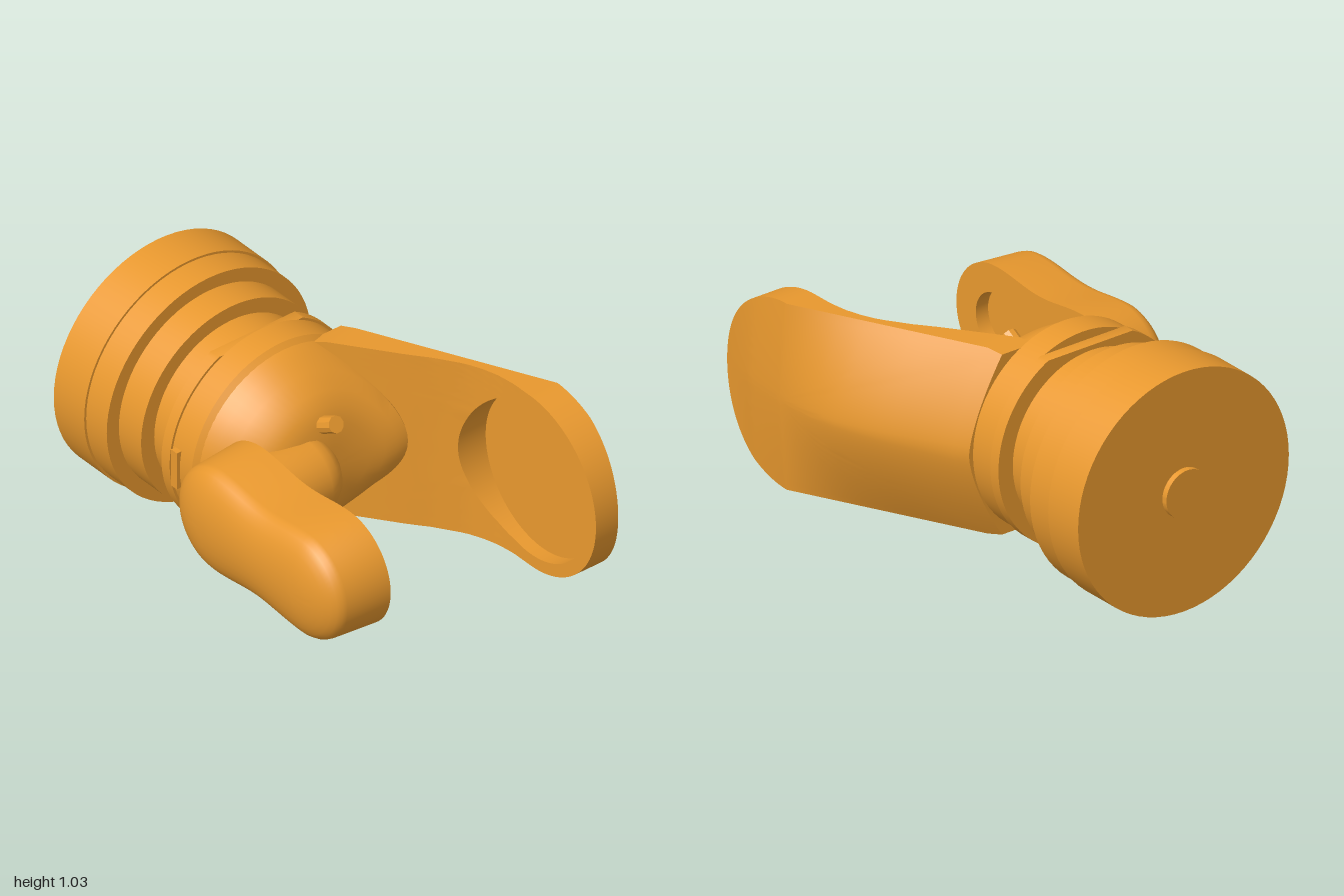
import * as THREE from 'three';
import { toCreasedNormals } from 'three/addons/utils/BufferGeometryUtils.js';

const CY = 0.517, CZ = 0.05; // main axis of the body, running along x

// piecewise linear lookup through [x, value] pairs
function curve(pts) {
  return (x) => {
    if (x <= pts[0][0]) return pts[0][1];
    for (let i = 1; i < pts.length; i++) {
      const [x0, v0] = pts[i - 1], [x1, v1] = pts[i];
      if (x <= x1) return v0 + ((v1 - v0) * (x - x0)) / (x1 - x0);
    }
    return pts[pts.length - 1][1];
  };
}

// skin over closed rings of [x, y, z] points
function loft(rings) {
  const n = rings[0].length, pos = rings.flat(2), idx = [];
  for (let i = 0; i < rings.length - 1; i++)
    for (let j = 0; j < n; j++) {
      const k = (j + 1) % n;
      const a = i * n + j, b = a + n, c = (i + 1) * n + k, d = i * n + k;
      idx.push(a, b, c, a, c, d);
    }
  const g = new THREE.BufferGeometry();
  g.setAttribute('position', new THREE.Float32BufferAttribute(pos, 3));
  g.setIndex(idx);
  return g;
}

const lathe = (pts, seg = 64) => new THREE.LatheGeometry(pts.map((p) => new THREE.Vector2(...p)), seg);

export function createModel() {
  const group = new THREE.Group();
  const mat = new THREE.MeshStandardMaterial({ color: 0xe8982e });
  const add = (name, geo, crease = 0.5) => {
    const m = new THREE.Mesh(toCreasedNormals(geo, crease), mat);
    m.name = name;
    group.add(m);
    return m;
  };

  // stepped wrist rings and rear nub
  const wrist = lathe([
    [0, -1], [0.103, -1], [0.103, -0.975], [0.515, -0.975], [0.515, -0.79],
    [0.505, -0.79], [0.505, -0.665], [0.445, -0.665], [0.445, -0.53],
    [0.38, -0.53], [0.38, -0.35], [0.44, -0.35], [0.44, -0.23], [0.41, -0.2], [0, -0.2],
  ], 72).rotateZ(-Math.PI / 2);
  add('wrist', wrist).position.set(0, CY, CZ);

  // collar with flats cut at top and bottom
  const flat = Math.asin(0.4 / 0.45);
  const collarShape = new THREE.Shape();
  collarShape.absarc(0, 0, 0.45, -flat, flat, false);
  collarShape.absarc(0, 0, 0.45, Math.PI - flat, Math.PI + flat, false);
  collarShape.closePath();
  const collar = new THREE.ExtrudeGeometry(collarShape, { depth: 0.05, bevelEnabled: false, curveSegments: 24 });
  add('collar', collar.rotateY(Math.PI / 2)).position.set(-0.4, CY, CZ);

  // small tab on the front of the wrist
  add('tab', new THREE.BoxGeometry(0.035, 0.17, 0.05)).position.set(-0.318, CY, 0.48);

  // domed palm, pulled forward where it flows into the large arm
  const palm = lathe([
    [0.43, -0.26], [0.42, -0.21], [0.395, -0.16], [0.36, -0.1], [0.31, -0.03],
    [0.26, 0.01], [0.2, 0.035], [0.1, 0.05], [0, 0.055],
  ]).rotateZ(-Math.PI / 2);
  const p = palm.attributes.position;
  for (let i = 0; i < p.count; i++) {
    const x = p.getX(i), t = Math.max(0, -p.getZ(i)) / 0.37;
    const f = THREE.MathUtils.clamp((x + 0.25) / 0.13, 0, 1);
    p.setX(i, x + 0.22 * t ** 3 * f);
  }
  add('palm', palm, 0.7).position.set(0, CY, CZ);

  // large arm: stadium outline, curved back, round recess in the inner face
  const inner = curve([[-0.23, -0.08], [0.1, -0.32], [0.16, -0.37], [0.22, -0.41], [0.28, -0.45], [0.35, -0.48], [0.42, -0.5], [0.5, -0.51]]);
  const backMid = curve([[-0.23, -0.41], [-0.1, -0.47], [0, -0.52], [0.1, -0.57], [0.2, -0.61], [0.3, -0.645], [0.4, -0.665], [0.5, -0.675], [0.6, -0.68], [0.8, -0.665], [1, -0.62]]);
  const backEdge = curve([[-0.23, -0.24], [0.6, -0.645], [0.8, -0.64], [1, -0.62]]);
  const back = (x, y) => THREE.MathUtils.lerp(backMid(x), backEdge(x), Math.abs(y / 0.4) ** 1.5);
  const N = 144, AX = 0.6;
  const armRing = (radius, depth) => Array.from({ length: N }, (_, j) => {
    const a = (j / N) * Math.PI * 2, c = Math.cos(a), s = Math.sin(a);
    const edge = c >= 0 ? 0.4 : Math.min(0.4 / Math.max(1e-6, Math.abs(s)), 0.83 / -c);
    const r = radius(edge), x = AX + r * c, y = r * s;
    return [x, y, depth(x, y)];
  });
  const armRings = [armRing(() => 0, () => -0.57), armRing(() => 0.345, () => -0.57)];
  for (let i = 0; i <= 10; i++) armRings.push(armRing((e) => 0.345 + ((e - 0.345) * i) / 10, inner));
  for (let i = 0; i <= 14; i++) armRings.push(armRing((e) => e * (1 - i / 14), back));
  add('largeArm', loft(armRings)).position.y = CY;

  // small arm: waisted outline with domed outer face and a round socket inside
  const LX = 0.06, RX = 0.59, LR = 0.25, RR = 0.245, half = [];
  for (let i = 0; i <= 16; i++) {
    const a = (i / 16) * Math.PI / 2;
    half.push([RX + RR * Math.cos(a), RR * Math.sin(a)]);
  }
  for (let i = 1; i < 16; i++) {
    const t = i / 16;
    half.push([RX + (LX - RX) * t, RR + (LR - RR) * t - 0.025 * Math.sin(Math.PI * t) ** 2]);
  }
  for (let i = 0; i <= 16; i++) {
    const a = (1 + i / 16) * Math.PI / 2;
    half.push([LX + LR * Math.cos(a), LR * Math.sin(a)]);
  }
  const lower = half.slice(1, -1).reverse().map(([x, y]) => [x, -y]);
  const outline = [...half, ...lower].reverse();
  const socket = (r, z) => outline.map(([x, y]) => {
    const d = Math.hypot(x - RX, y);
    return [RX + (r * (x - RX)) / d, (r * y) / d, z];
  });
  const inset = (t, z) => outline.map(([x, y]) => {
    const sx = THREE.MathUtils.clamp(x, LX, RX);
    return [x + (sx - x) * t, y * (1 - t), z];
  });
  const jawRings = [socket(0, 0.43), socket(0.125, 0.43), socket(0.125, 0.37), inset(0, 0.37), inset(0.06, 0.57)];
  for (let i = 1; i <= 8; i++) {
    const a = (i / 8) * Math.PI / 2;
    jawRings.push(inset(1 - 0.94 * Math.cos(a), 0.57 + 0.1 * Math.sin(a)));
  }
  add('smallArm', loft(jawRings)).position.y = CY;

  // round-ended hinge post carrying the small arm
  const post = lathe([[0.16, -0.4], [0.16, -0.13], [0.15, -0.09], [0.125, -0.055], [0.08, -0.025], [0, -0.005]], 32);
  add('hingePost', post.rotateX(-Math.PI / 2), 0.8).position.set(0.03, CY, 0);

  // pair of tilted pins on the palm
  for (const s of [1, -1]) {
    const pin = add('pin', new THREE.CylinderGeometry(0.035, 0.035, 0.16, 10));
    pin.position.set(0.04, CY + s * 0.205, CZ);
    pin.rotation.z = s > 0 ? -1.05 : -Math.PI + 1.05;
  }
  return group;
}
